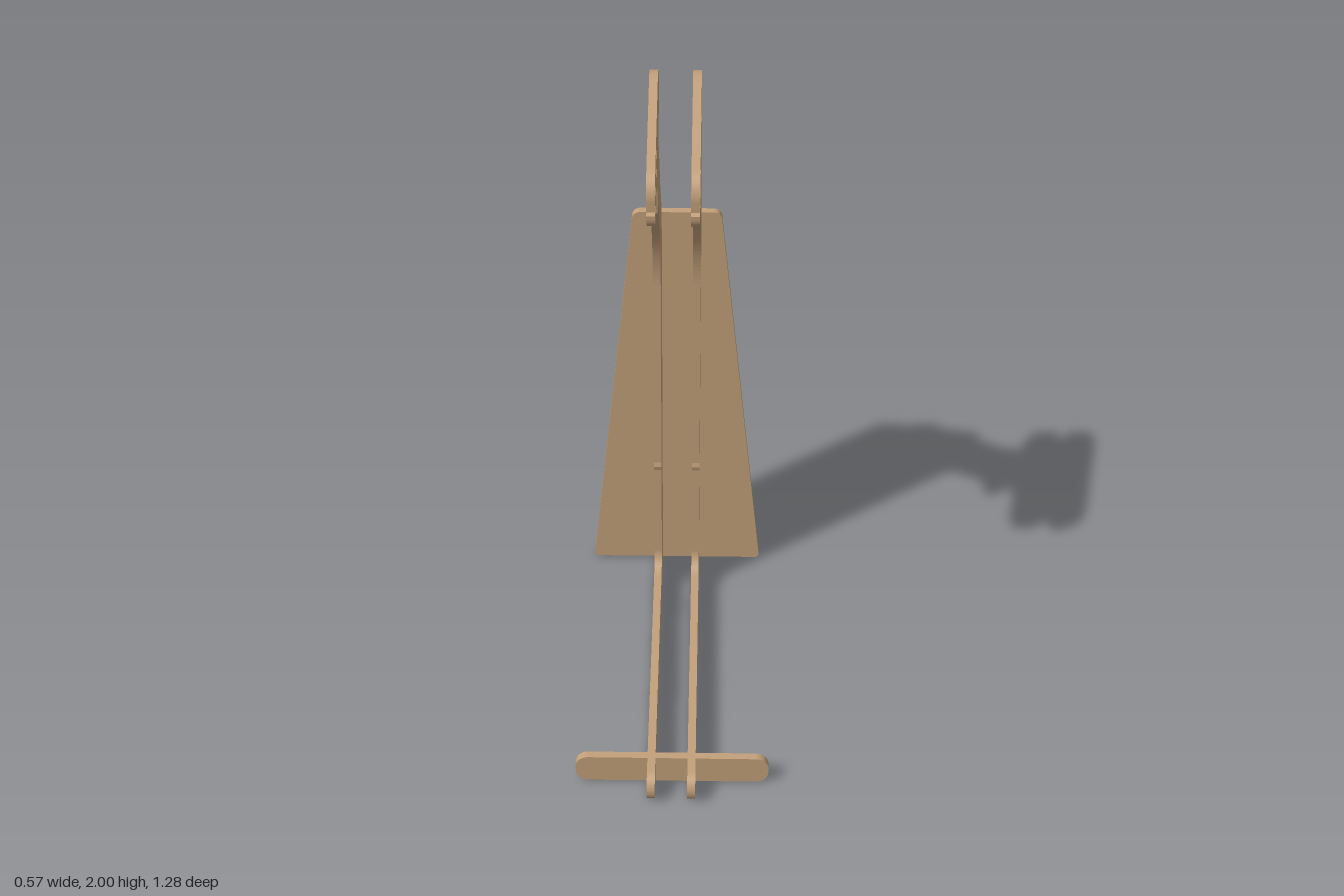
import * as THREE from 'three';

const THICK = 0.0235;

// Closed outline from corners [x, y, fillet radius]
function roundedShape(corners) {
  const shape = new THREE.Shape();
  const n = corners.length;
  corners.forEach(([x, y, r = 0], i) => {
    const p = new THREE.Vector2(x, y);
    const toPrev = new THREE.Vector2(...corners[(i + n - 1) % n].slice(0, 2)).sub(p).normalize();
    const toNext = new THREE.Vector2(...corners[(i + 1) % n].slice(0, 2)).sub(p).normalize();
    if (!r) {
      if (i === 0) shape.moveTo(x, y); else shape.lineTo(x, y);
      return;
    }
    const half = Math.acos(THREE.MathUtils.clamp(toPrev.dot(toNext), -1, 1)) / 2;
    const t = r / Math.tan(half);
    const a = p.clone().addScaledVector(toPrev, t);
    const b = p.clone().addScaledVector(toNext, t);
    const c = toPrev.clone().add(toNext).normalize().multiplyScalar(r / Math.sin(half)).add(p);
    const clockwise = toPrev.cross(toNext) > 0;
    if (i === 0) shape.moveTo(a.x, a.y); else shape.lineTo(a.x, a.y);
    shape.absarc(c.x, c.y, r, Math.atan2(a.y - c.y, a.x - c.x), Math.atan2(b.y - c.y, b.x - c.x), clockwise);
  });
  shape.closePath();
  return shape;
}

// Flat sheet, centred on its own thickness
function sheet(corners) {
  const geo = new THREE.ExtrudeGeometry(roundedShape(corners), {
    depth: THICK, bevelEnabled: false, curveSegments: 8,
  });
  return geo.translate(0, 0, -THICK / 2);
}

export function createModel() {
  const group = new THREE.Group();
  const wood = new THREE.MeshStandardMaterial({ color: 0xc2a07a });
  wood.name = 'plywood';

  const add = (name, geo, x, z) => {
    const mesh = new THREE.Mesh(geo, wood);
    mesh.name = name;
    mesh.position.set(x, 0, z);
    group.add(mesh);
  };

  // Side profile as [z, y, radius]
  const profile = [
    // slotted head
    [0.247, 1.797], [0.247, 1.88, 0.075], [-0.203, 2.033, 0.083], [-0.203, 1.86, 0.083],
    [-0.14, 1.815, 0.035], [-0.14, 1.775, 0.05],
    // back of the neck and column
    [-0.236, 1.643, 0.2], [-0.31, 1.525, 0.2], [-0.406, 1.414], [-0.465, 1.335],
    [-0.498, 1.335, 0.01], [-0.502, 1.298], [-0.634, 1.147, 0.16],
    [-0.634, 0.225], [-0.628, 0.19], [-0.634, 0.17], [-0.618, 0.13], [-0.623, 0.09],
    [-0.618, 0, 0.02],
    // long base
    [0.643, 0, 0.046], [0.643, 0.093, 0.046], [-0.316, 0.093, 0.06],
    // front of the column, throat and lower jaw
    [-0.316, 0.48], [-0.312, 0.495], [-0.316, 0.51],
    [-0.316, 1.321, 0.41], [-0.09, 1.61, 0.05], [-0.003, 1.61, 0.03],
    [-0.003, 1.775, 0.055], [0.175, 1.715, 0.06], [0.238, 1.745, 0.04], [0.24, 1.78],
    // slot end
    [-0.003, 1.86], [-0.003, 1.882],
  ];
  const sideGeo = sheet(profile).rotateY(-Math.PI / 2);
  add('leftSidePlate', sideGeo, 0.0575, 0);
  add('rightSidePlate', sideGeo, -0.06, 0);

  // Tapered cross plate at the back
  add('backCrossPlate', sheet([
    [-0.268, 0, 0.012], [0.268, 0, 0.012], [0.131, 1.336, 0.025], [-0.131, 1.336, 0.025],
  ]), -0.003, -0.476);

  // Low cross foot at the front
  add('frontFoot', sheet([
    [-0.283, 0, 0.038], [0.283, 0, 0.038], [0.283, 0.093, 0.038], [-0.283, 0.093, 0.038],
  ]), 0, 0.534);

  return group;
}
